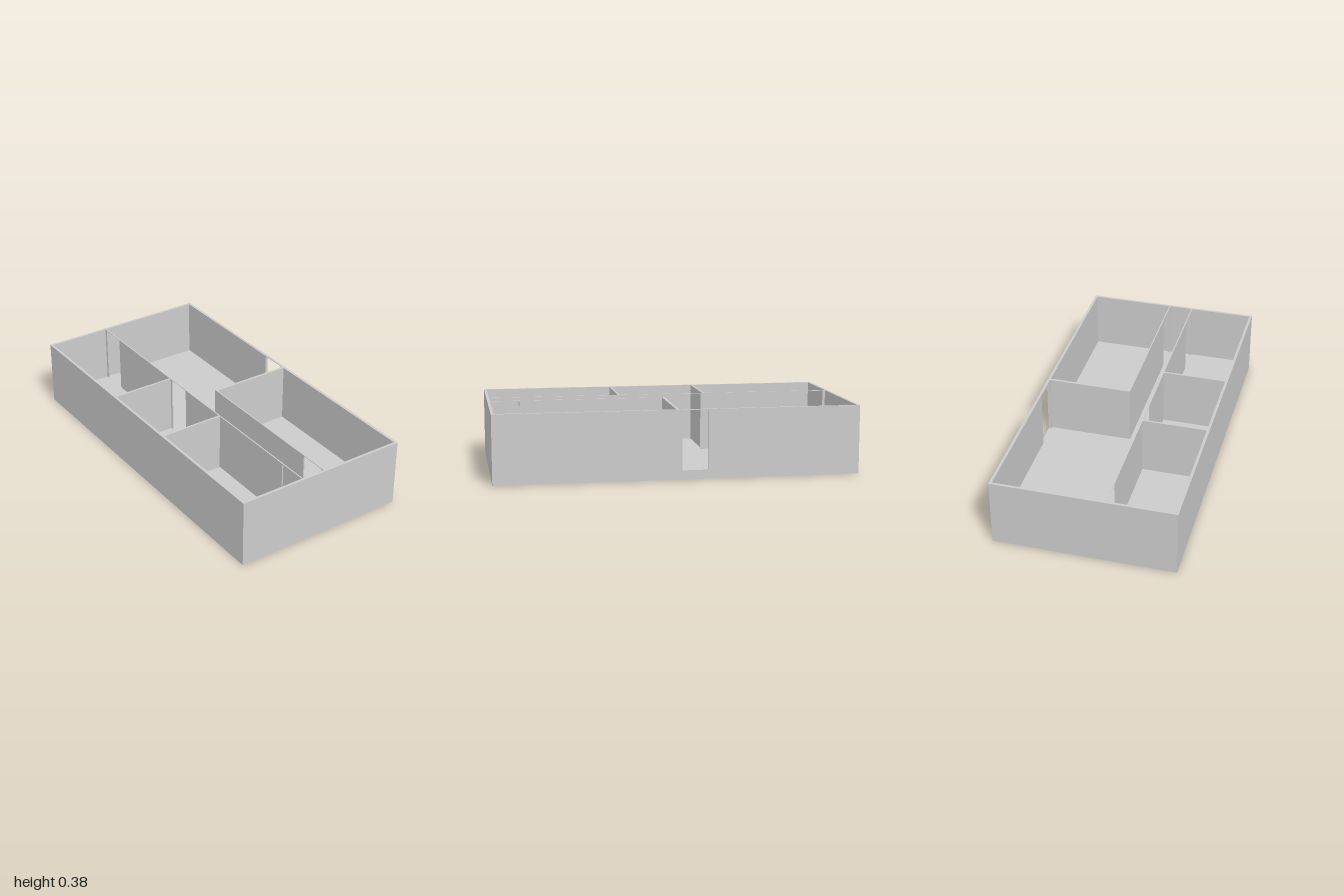
import * as THREE from 'three';

const FLOOR = 0.05, TOP = 0.38, CAP = 0.003;
const material = new THREE.MeshStandardMaterial({ color: 0xcccccc, flatShading: true });

// Box given by its limits on each axis
function block(parent, name, x0, x1, y0, y1, z0, z1) {
  const mesh = new THREE.Mesh(new THREE.BoxGeometry(x1 - x0, y1 - y0, z1 - z0), material);
  mesh.position.set((x0 + x1) / 2, (y0 + y1) / 2, (z0 + z1) / 2);
  mesh.name = name;
  parent.add(mesh);
}

// Wall running along z, with tall doorways listed as [start, end]
function longWall(parent, name, x0, x1, z0, z1, doors = []) {
  const wall = new THREE.Group();
  wall.name = name;
  let z = z0;
  for (const [start, end] of doors) {
    block(wall, 'wallSection', x0, x1, FLOOR, TOP, z, start);
    block(wall, 'doorHead', x0, x1, TOP - CAP, TOP, start, end);
    z = end;
  }
  block(wall, 'wallSection', x0, x1, FLOOR, TOP, z, z1);
  parent.add(wall);
}

export function createModel() {
  const house = new THREE.Group();
  house.name = 'floorPlan';

  // Floor slab
  block(house, 'floorSlab', -0.5, 0.5, 0, FLOOR, -1, 1);

  // Outer walls
  block(house, 'frontWall', -0.5, 0.5, FLOOR, TOP, 0.985, 1);
  block(house, 'backWall', -0.5, 0.5, FLOOR, TOP, -1, -0.985);
  longWall(house, 'rightWall', -0.5, -0.485, -0.985, 0.985);
  longWall(house, 'leftWall', 0.485, 0.5, -0.985, 0.985, [[-0.16, -0.015]]);

  // Corridor walls
  longWall(house, 'corridorRightWall', -0.127, -0.12, -0.985, 0.985,
    [[-0.97, -0.82], [-0.235, -0.09], [0.82, 0.97]]);
  longWall(house, 'corridorLeftWall', 0.013, 0.02, 0.015, 0.985, [[0.82, 0.97]]);

  // Partitions between rooms
  block(house, 'largeRoomPartition', 0.013, 0.485, FLOOR, TOP, 0, 0.015);
  for (const z of [-0.252, 0.245])
    block(house, 'smallRoomPartition', -0.485, -0.127, FLOOR, TOP, z - 0.006, z + 0.006);

  return house;
}
